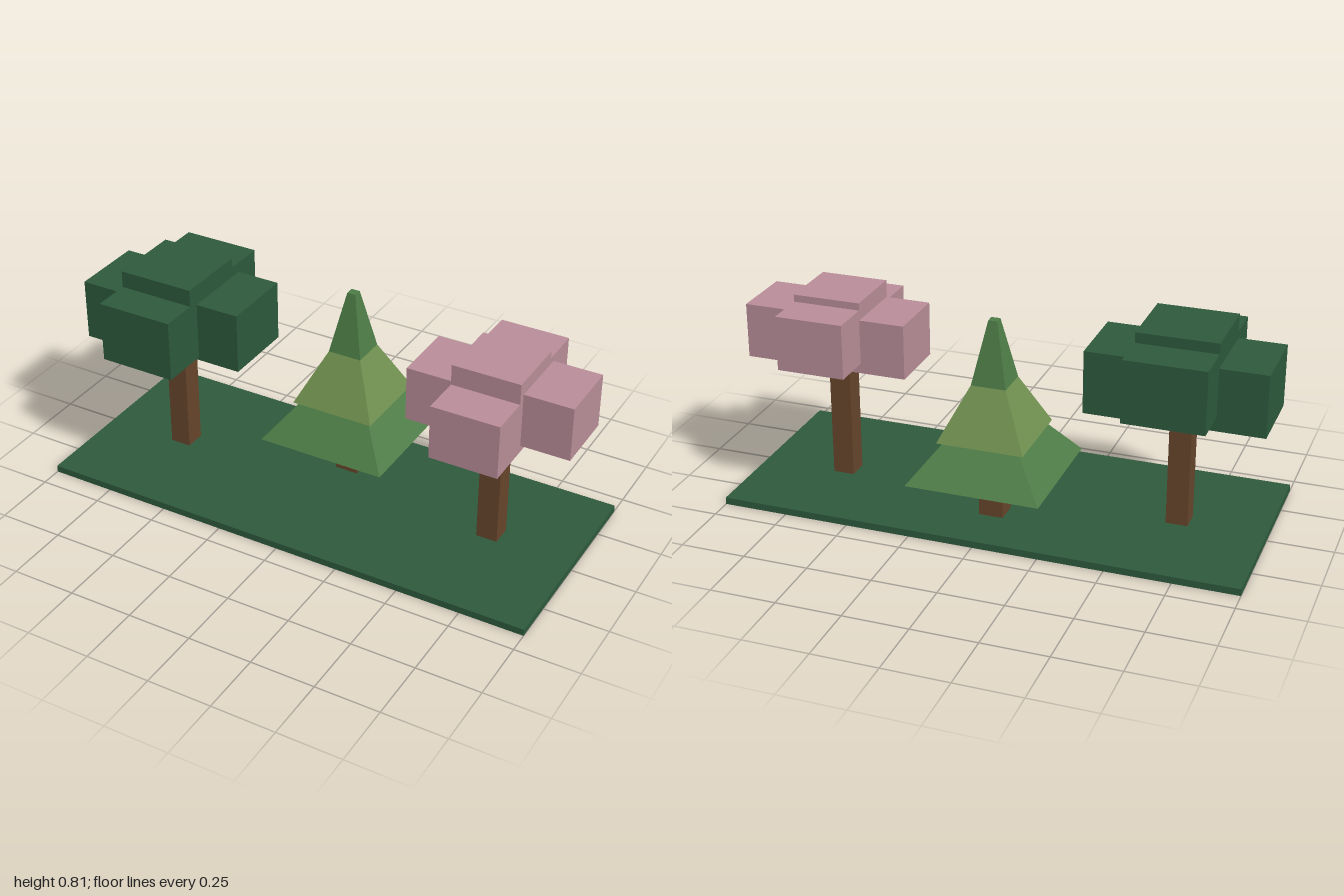
import * as THREE from 'three';

const mat = (name, color) => {
  const m = new THREE.MeshStandardMaterial({ color });
  m.name = name;
  return m;
};

export function createModel() {
  const model = new THREE.Group();
  const darkGreen = mat('dark green', 0x2d593c);
  const midGreen = mat('pine green', 0x4d7c46);
  const lightGreen = mat('light olive green', 0x70904f);
  const pink = mat('blossom pink', 0xb78c97);
  const bark = mat('bark brown', 0x65452b);

  function add(parent, name, geometry, material, x, y, z) {
    const mesh = new THREE.Mesh(geometry, material);
    mesh.name = name;
    mesh.position.set(x, y, z);
    parent.add(mesh);
    return mesh;
  }

  // Box standing on height y
  const box = (parent, name, m, w, h, d, x, y, z) =>
    add(parent, name, new THREE.BoxGeometry(w, h, d), m, x, y + h / 2, z);

  box(model, 'ground', darkGreen, 2, 0.027, 0.832, 0, 0, 0.002);

  // Pine: square trunk and three stacked truncated pyramids
  const pine = new THREE.Group();
  pine.name = 'pineTree';
  pine.position.z = -0.163;
  model.add(pine);
  box(pine, 'pineTrunk', bark, 0.094, 0.2, 0.094, 0, 0.02, 0);
  const tiers = [
    // bottom half-width, top half-width, bottom y, top y
    ['lowerTier', midGreen, 0.256, 0.142, 0.21, 0.358],
    ['middleTier', lightGreen, 0.166, 0.067, 0.356, 0.56],
    ['topTier', midGreen, 0.067, 0.017, 0.56, 0.801],
  ];
  for (const [name, m, r0, r1, y0, y1] of tiers) {
    const g = new THREE.CylinderGeometry(r1 * Math.SQRT2, r0 * Math.SQRT2, y1 - y0, 4)
      .rotateY(Math.PI / 4).toNonIndexed();
    g.computeVertexNormals();
    add(pine, name, g, m, 0, (y0 + y1) / 2, 0);
  }

  // Broadleaf tree: trunk, four slanted branches, five equal leaf blocks
  function leafTree(name, m, x, z, size, blocks) {
    const tree = new THREE.Group();
    tree.name = name;
    tree.position.set(x, 0, z);
    model.add(tree);
    box(tree, 'trunk', bark, 0.083, 0.485, 0.083, 0, 0.02, 0);
    for (let i = 0; i < 4; i++) {
      const g = new THREE.BoxGeometry(0.038, 0.15, 0.038)
        .translate(0, 0.075, 0).rotateX(0.8).translate(0, 0, 0.015);
      add(tree, 'branch', g, bark, 0, 0.455, 0).rotation.y = i * Math.PI / 2;
    }
    for (const [label, bx, by, bz] of blocks) {
      box(tree, label, m, ...size, bx - x, by, bz - z);
    }
  }

  // Block entries: name, centre x, bottom y, centre z
  leafTree('greenTree', darkGreen, -0.668, 0.003, [0.304, 0.24, 0.293], [
    ['centreLeaves', -0.668, 0.575, 0.004],
    ['frontLeaves', -0.668, 0.508, 0.151],
    ['backLeaves', -0.668, 0.535, -0.156],
    ['rightLeaves', -0.848, 0.481, 0.004],
    ['leftLeaves', -0.494, 0.495, -0.038],
  ]);
  leafTree('pinkTree', pink, 0.664, -0.029, [0.264, 0.212, 0.254], [
    ['centreLeaves', 0.665, 0.575, -0.029],
    ['frontLeaves', 0.665, 0.495, 0.131],
    ['backLeaves', 0.665, 0.547, -0.188],
    ['rightLeaves', 0.49, 0.508, -0.031],
    ['leftLeaves', 0.853, 0.522, -0.055],
  ]);

  return model;
}
